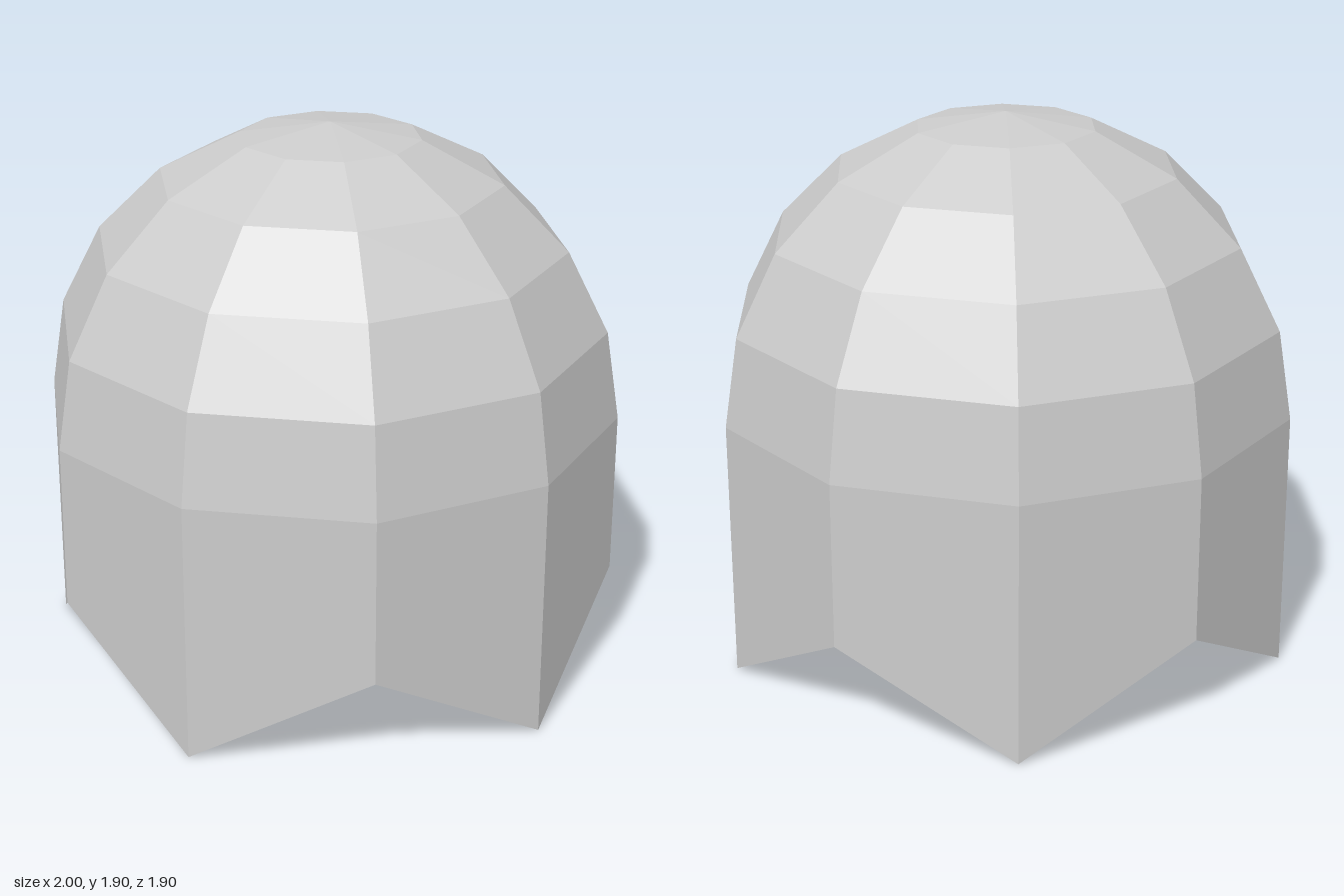
import * as THREE from 'three';

const SIDES = 10, RADIUS = 1, RIM_Y = 0.905, NOTCH_Y = 0.335;

export function createModel() {
  const model = new THREE.Group();
  model.name = 'domedCap';
  const material = new THREE.MeshStandardMaterial({
    color: 0xcccccc, flatShading: true, side: THREE.DoubleSide,
  });

  // Faceted half-sphere crown
  const dome = new THREE.Mesh(
    new THREE.SphereGeometry(RADIUS, SIDES, 5, 0, Math.PI * 2, 0, Math.PI / 2), material);
  dome.name = 'dome';
  dome.position.y = RIM_Y;

  // Open wall whose lower edge zigzags between points and notches
  const wallGeometry = new THREE.CylinderGeometry(
    RADIUS, RADIUS, RIM_Y, SIDES, 1, true, Math.PI / 2);
  wallGeometry.translate(0, RIM_Y / 2, 0);
  const p = wallGeometry.attributes.position;
  for (let i = 0; i < p.count; i++) {
    if (p.getY(i) > RIM_Y / 2) continue;
    const corner = Math.round(Math.atan2(p.getZ(i), p.getX(i)) / (Math.PI * 2 / SIDES));
    p.setY(i, corner % 2 === 0 ? NOTCH_Y : 0);
  }
  wallGeometry.computeVertexNormals();
  const wall = new THREE.Mesh(wallGeometry, material);
  wall.name = 'zigzagWall';

  model.add(dome, wall);
  return model;
}
